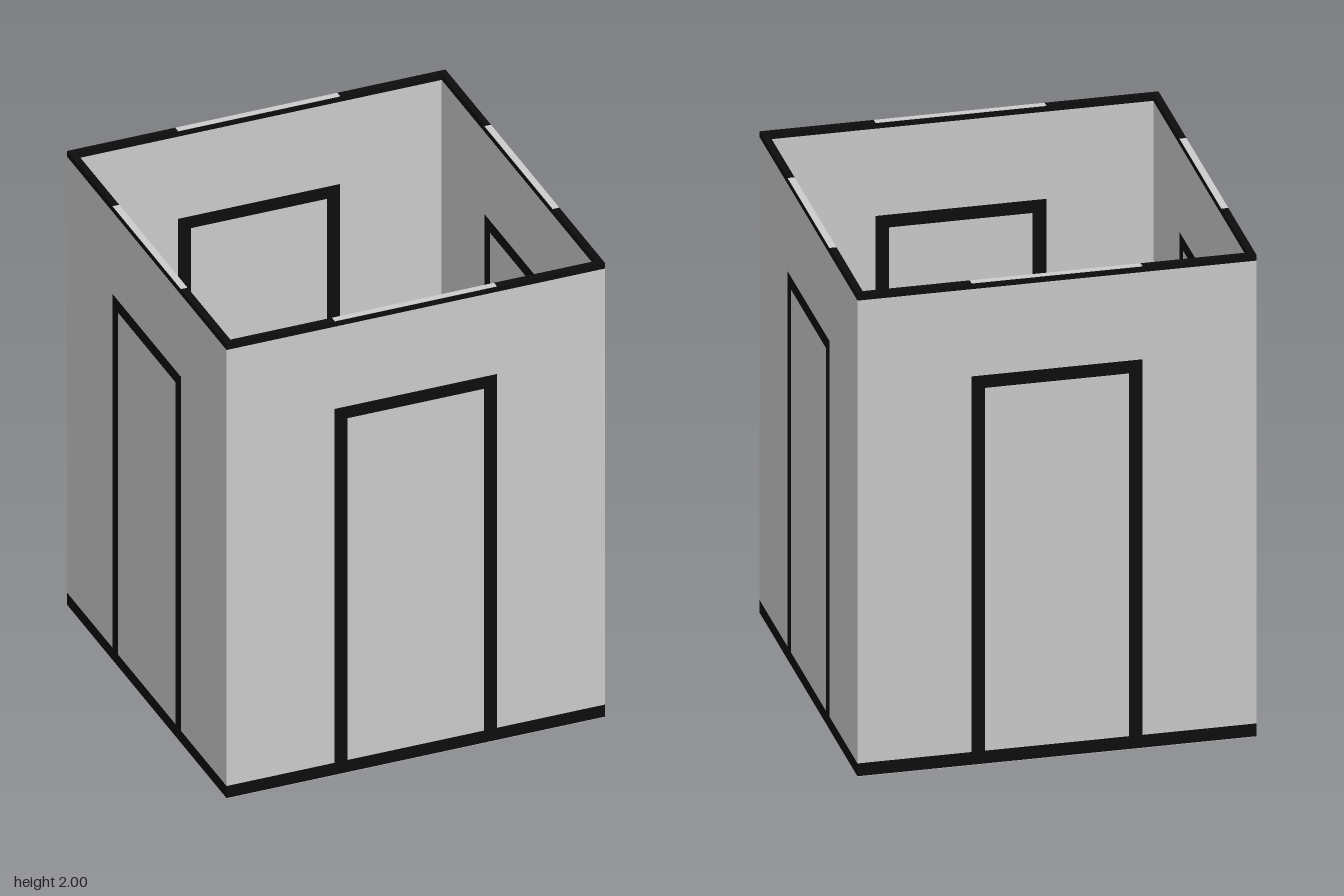
import * as THREE from 'three';

const grey = new THREE.MeshStandardMaterial({ color: 0xcccccc });
const black = new THREE.MeshStandardMaterial({ color: 0x0d0d0d });

const HALF = 0.777;       // half the outer width
const T = 0.027;          // wall thickness
const H = 2;              // wall height
const BASE = 0.055;       // skirting height
const RIM = 0.025;        // top band height
const DOOR = 0.333;       // half the door width, frame included
const FRAME = 0.053;      // door frame width
const DOOR_TOP = 1.613;
const SKIN = 0.002;       // thin floor and rim cap

// One flush slab of a wall, given by its extents in x and y
function slab(name, x0, x1, y0, y1, material) {
  const mesh = new THREE.Mesh(new THREE.BoxGeometry(x1 - x0, y1 - y0, T), material);
  mesh.position.set((x0 + x1) / 2, (y0 + y1) / 2, 0);
  mesh.name = name;
  return mesh;
}

// A wall with skirting, framed door and top band; half is half its length
function wall(name, half) {
  const g = new THREE.Group();
  g.name = name;
  const inner = DOOR - FRAME;
  g.add(
    slab('skirting', -half, half, SKIN, BASE, black),
    slab('doorPanel', -inner, inner, BASE, DOOR_TOP - FRAME, grey),
    slab('doorLintel', -DOOR, DOOR, DOOR_TOP - FRAME, DOOR_TOP, black),
    slab('panelAboveDoor', -DOOR, DOOR, DOOR_TOP, H - RIM, grey),
    slab('topBandMiddle', -DOOR, DOOR, H - RIM, H - SKIN, black),
    slab('topBandCap', -DOOR, DOOR, H - SKIN, H, grey)
  );
  // Both sides of the door
  for (const s of [-1, 1]) {
    const side = (part, a, b, y0, y1, m) =>
      g.add(slab(part, Math.min(s * a, s * b), Math.max(s * a, s * b), y0, y1, m));
    side('doorPost', inner, DOOR, BASE, DOOR_TOP - FRAME, black);
    side('sidePanel', DOOR, half, BASE, H - RIM, grey);
    side('topBandSide', DOOR, half, H - RIM, H, black);
  }
  return g;
}

export function createModel() {
  const model = new THREE.Group();
  model.name = 'openRoom';

  // Floor
  const floor = new THREE.Mesh(new THREE.BoxGeometry(2 * HALF, SKIN, 2 * HALF), grey);
  floor.position.y = SKIN / 2;
  floor.name = 'floor';
  model.add(floor);

  // Four walls; the left and right ones fit between front and back
  ['frontWall', 'leftWall', 'backWall', 'rightWall'].forEach((name, i) => {
    const w = wall(name, i % 2 ? HALF - T : HALF);
    const angle = i * Math.PI / 2;
    w.rotation.y = angle;
    w.position.set(Math.sin(angle) * (HALF - T / 2), 0, Math.cos(angle) * (HALF - T / 2));
    model.add(w);
  });
  return model;
}
